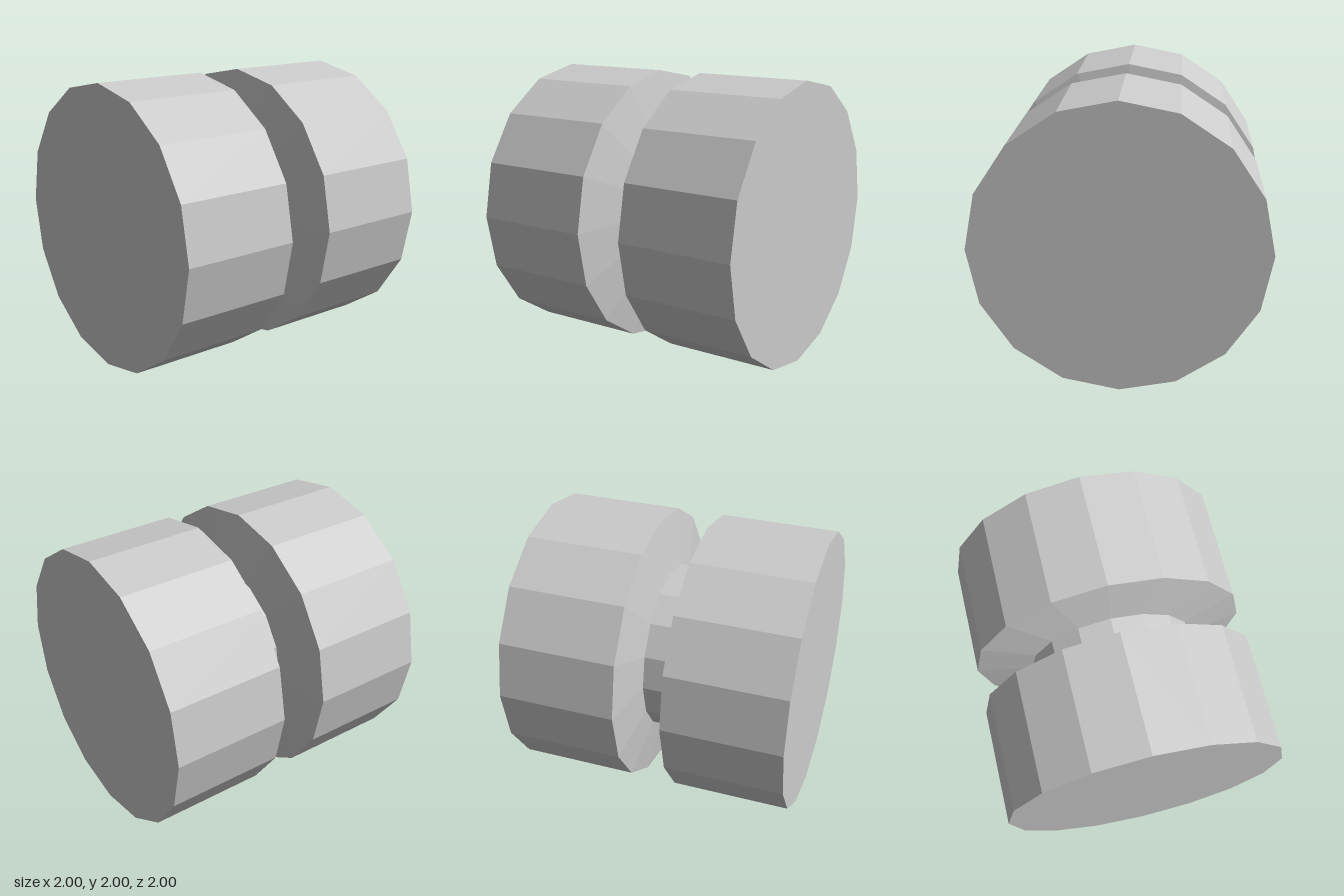
import * as THREE from 'three';

const SIDES = 16;
const RADIUS = 1;          // outer drums
const CORE_RADIUS = 0.6;   // bottom of the groove
const HALF_LENGTH = 1;
const RIM = 0.167;         // half width of the groove at its mouth
const CORE = 0.1;          // half width of the groove at its bottom

export function createModel() {
  const group = new THREE.Group();
  group.name = 'spool';
  const material = new THREE.MeshStandardMaterial({ color: 0xcccccc, flatShading: true });

  // Half profile (radius, distance along the axis) from the groove to the end cap
  const half = [[CORE_RADIUS, CORE], [RADIUS, RIM], [RADIUS, HALF_LENGTH], [0, HALF_LENGTH]];
  const profile = [
    ...half.map(([r, d]) => new THREE.Vector2(r, -d)).reverse(),
    ...half.map(([r, d]) => new THREE.Vector2(r, d)),
  ];

  // Two drums joined by a tapered groove, lying along x
  const geometry = new THREE.LatheGeometry(profile, SIDES);
  geometry.rotateZ(-Math.PI / 2);
  const body = new THREE.Mesh(geometry, material);
  body.name = 'groovedRoller';
  body.position.y = RADIUS;
  group.add(body);

  return group;
}
